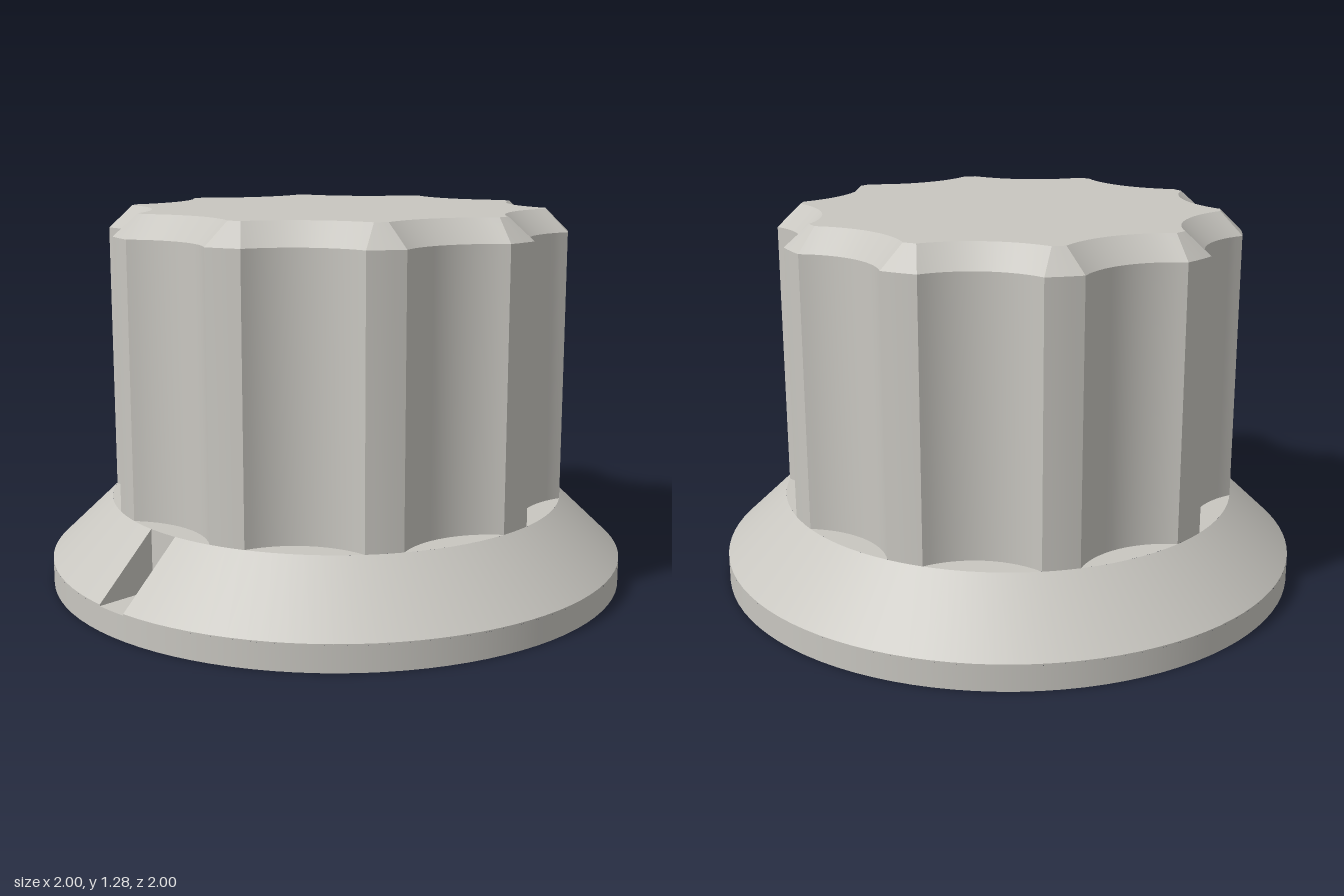
import * as THREE from 'three';
import { mergeGeometries, toCreasedNormals } from 'three/addons/utils/BufferGeometryUtils.js';

const FLUTES = 10, OFFSET = 0.019;               // flute count, small twist of the pattern
const BODY_R = 0.79, FLUTE_R = 0.303, FLUTE_D = 1.008;
const SKIRT_TOP = 0.29, CHAMFER_Y = 1.21, TOP_Y = 1.285, CHAMFER = 0.076;
const SLOT_HALF = 0.06, SLOT_FLOOR = 0.085, RIM_Y = 0.09;

// Revolve a profile with crisp corners; slot > 0 leaves a parallel-sided gap at the front
function revolve(profile, slot = 0) {
  const parts = [];
  for (let i = 0; i < profile.length - 1; i++) {
    const pts = [profile[i], profile[i + 1]].map(([r, y]) => new THREE.Vector2(r, y));
    const geo = new THREE.LatheGeometry(pts, 96);
    if (slot) {
      const pos = geo.attributes.position;
      for (let k = 0; k < pos.count; k++) {
        const { x: r, y } = pts[k % 2];
        const gap = Math.asin(slot / r);
        const a = gap + (Math.floor(k / 2) / 96) * (2 * Math.PI - 2 * gap);
        pos.setXYZ(k, r * Math.sin(a), y, r * Math.cos(a));
      }
      geo.computeVertexNormals();
    }
    parts.push(geo);
  }
  return mergeGeometries(parts);
}

// Scalloped outline as [x, z] points, offset inwards by inset
function outline(inset) {
  const r = BODY_R - inset, R = FLUTE_R + inset, pts = [];
  const phi = Math.acos((r * r + FLUTE_D ** 2 - R * R) / (2 * r * FLUTE_D));
  const sweep = Math.asin((r * Math.sin(phi)) / R);
  const step = (2 * Math.PI) / FLUTES;
  for (let f = 0; f < FLUTES; f++) {
    const c = OFFSET + f * step, s = Math.sin(c), k = Math.cos(c);
    for (let i = 0; i <= 14; i++) {
      const p = sweep * (i / 7 - 1);
      const u = FLUTE_D - R * Math.cos(p), v = R * Math.sin(p);
      pts.push([u * s + v * k, u * k - v * s]);
    }
    for (let i = 1; i < 3; i++) {
      const a = c + phi + (step - 2 * phi) * (i / 3);
      pts.push([r * Math.sin(a), r * Math.cos(a)]);
    }
  }
  return pts;
}

// Wall between two matching outlines
function wall(lower, y0, upper, y1) {
  const pos = [], n = lower.length;
  for (let i = 0; i < n; i++) {
    const j = (i + 1) % n;
    const a = [lower[i][0], y0, lower[i][1]], b = [lower[j][0], y0, lower[j][1]];
    const c = [upper[j][0], y1, upper[j][1]], d = [upper[i][0], y1, upper[i][1]];
    pos.push(...a, ...b, ...d, ...b, ...c, ...d);
  }
  const geo = new THREE.BufferGeometry();
  geo.setAttribute('position', new THREE.Float32BufferAttribute(pos, 3));
  geo.computeVertexNormals();
  return toCreasedNormals(geo, 0.45);
}

// Flat polygon from corner points in order
function facet(...corners) {
  const pos = [];
  for (let i = 1; i < corners.length - 1; i++) pos.push(...corners[0], ...corners[i], ...corners[i + 1]);
  const geo = new THREE.BufferGeometry();
  geo.setAttribute('position', new THREE.Float32BufferAttribute(pos, 3));
  geo.computeVertexNormals();
  return geo;
}

export function createModel() {
  const grey = new THREE.MeshStandardMaterial({ color: 0xc8c6c0 });
  grey.name = 'warm grey';
  const knob = new THREE.Group();
  knob.name = 'knob';
  const add = (name, geo) => {
    const mesh = new THREE.Mesh(geo, grey);
    mesh.name = name;
    knob.add(mesh);
  };

  // Base: blind shaft bore, underside and outer rim
  add('baseAndBore', revolve([[0, 1.05], [0.52, 1.05], [0.52, 0], [1, 0], [1, SLOT_FLOOR]]));

  // Conical skirt, open at the pointer slot
  add('skirt', revolve([[1, SLOT_FLOOR], [1, RIM_Y], [BODY_R, SKIRT_TOP]], SLOT_HALF));
  add('skirtTop', revolve([[BODY_R, SKIRT_TOP], [0.6, SKIRT_TOP]]));

  // Pointer slot: floor, back wall and two cheeks
  const h = SLOT_HALF, zi = Math.sqrt(BODY_R ** 2 - h * h), zo = Math.sqrt(1 - h * h);
  const f = SLOT_FLOOR, t = SKIRT_TOP;
  add('slotFloor', facet([-h, f, zi], [-h, f, zo], [0, f, 1], [h, f, zo], [h, f, zi]));
  add('slotBack', facet([-h, f, zi], [h, f, zi], [h, t, zi], [-h, t, zi]));
  add('slotCheekRight', facet([-h, f, zo], [-h, f, zi], [-h, t, zi], [-h, RIM_Y, zo]));
  add('slotCheekLeft', facet([h, f, zi], [h, f, zo], [h, RIM_Y, zo], [h, t, zi]));

  // Fluted grip with chamfered top edge
  const full = outline(0), inner = outline(CHAMFER);
  add('flutedGrip', wall(full, SKIRT_TOP, full, CHAMFER_Y));
  add('topChamfer', wall(full, CHAMFER_Y, inner, TOP_Y));

  // Flat cap
  const cap = new THREE.ShapeGeometry(new THREE.Shape(inner.map(([x, z]) => new THREE.Vector2(x, -z))));
  cap.rotateX(-Math.PI / 2).translate(0, TOP_Y, 0);
  add('topCap', cap);

  return knob;
}
